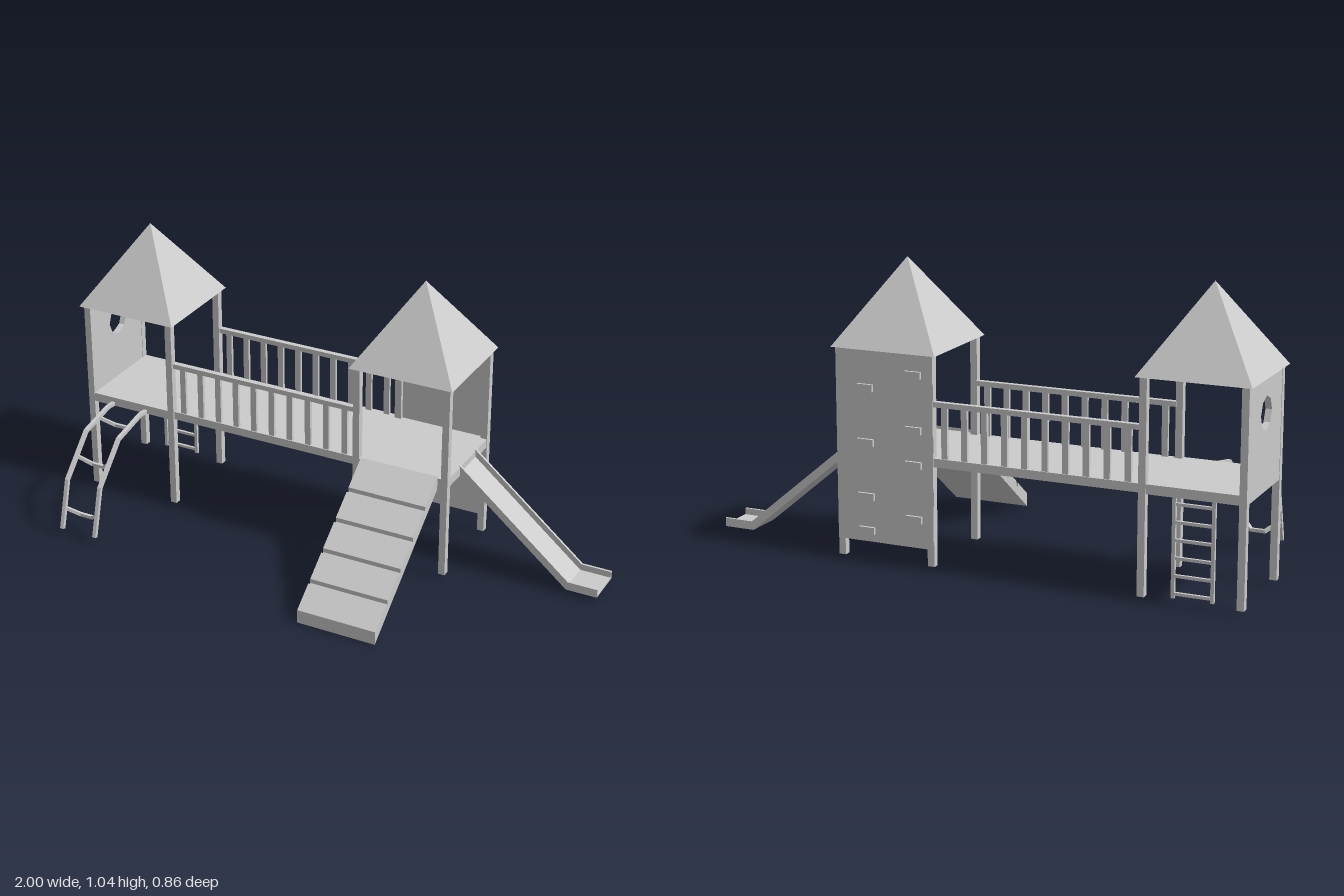
import * as THREE from 'three';

const mat = new THREE.MeshStandardMaterial({ color: 0xcccccc, flatShading: true });
const CZ = -0.235; // centre line of the towers
const LEFT = -0.805, RIGHT = 0.29; // x of the two towers

export function createModel() {
  const root = new THREE.Group();
  root.name = 'playground';

  const group = (name, parent = root) => {
    const g = new THREE.Group();
    g.name = name;
    parent.add(g);
    return g;
  };
  const add = (parent, name, geo) => {
    const m = new THREE.Mesh(geo, mat);
    m.name = name;
    parent.add(m);
    return m;
  };
  // box given by its limits
  const box = (parent, name, x0, x1, y0, y1, z0, z1) => {
    const m = add(parent, name, new THREE.BoxGeometry(x1 - x0, y1 - y0, z1 - z0));
    m.position.set((x0 + x1) / 2, (y0 + y1) / 2, (z0 + z1) / 2);
    return m;
  };
  // square bar between two points
  const bar = (parent, name, a, b, t) => {
    const p = new THREE.Vector3(...a), q = new THREE.Vector3(...b);
    const m = add(parent, name, new THREE.BoxGeometry(t, t, p.distanceTo(q) + t * 0.4));
    m.position.copy(p).add(q).multiplyScalar(0.5);
    m.lookAt(q);
    return m;
  };
  const path = (parent, name, pts, t) => {
    for (let i = 1; i < pts.length; i++) bar(parent, name, pts[i - 1], pts[i], t);
  };
  const shapeOf = pts => new THREE.Shape(pts.map(p => new THREE.Vector2(...p)));
  const extrude = (shape, depth) =>
    new THREE.ExtrudeGeometry(shape, { depth, bevelEnabled: false });
  // (z, y) profile extruded along x
  const profileX = (parent, name, pts, x0, x1) => {
    const geo = extrude(shapeOf(pts.map(([z, y]) => [-z, y])), x1 - x0);
    add(parent, name, geo.rotateY(Math.PI / 2)).position.x = x0;
  };

  // towers: posts, platform, pyramid roof
  for (const [name, x] of [['leftTower', LEFT], ['rightTower', RIGHT]]) {
    const t = group(name);
    for (const sx of [-1, 1]) for (const sz of [-1, 1]) {
      const px = x + sx * 0.17, pz = CZ + sz * 0.17;
      box(t, 'post', px - 0.0125, px + 0.0125, 0.02, 0.755, pz - 0.0125, pz + 0.0125);
    }
    box(t, 'platform', x - 0.181, x + 0.181, 0.367, 0.4, CZ - 0.181, CZ + 0.181);
    const roof = add(t, 'roof',
      new THREE.ConeGeometry(0.195 * Math.SQRT2, 0.292, 4).rotateY(Math.PI / 4));
    roof.position.set(x, 0.75 + 0.146, CZ);
  }

  // side panel with an octagonal window
  const panel = shapeOf([[-0.16, 0.4], [0.16, 0.4], [0.16, 0.75], [-0.16, 0.75]]);
  const hole = new THREE.Path();
  for (let i = 0; i < 8; i++) {
    const a = i * Math.PI / 4, u = Math.cos(a) * 0.057, v = 0.628 + Math.sin(a) * 0.057;
    i ? hole.lineTo(u, v) : hole.moveTo(u, v);
  }
  hole.closePath();
  panel.holes.push(hole);
  add(root, 'windowPanel', extrude(panel, 0.022).rotateY(Math.PI / 2))
    .position.set(LEFT - 0.181, 0, CZ);

  // bridge with railings
  const bridge = group('bridge');
  box(bridge, 'bridgeDeck', LEFT + 0.18, RIGHT - 0.18, 0.37, 0.4, -0.417, -0.06);
  for (const z of [-0.07, -0.407]) {
    box(bridge, 'handrail', LEFT + 0.18, RIGHT - 0.18, 0.576, 0.594, z - 0.01, z + 0.01);
    for (let i = 0; i < 10; i++) {
      const x = -0.585 + i * 0.0727;
      box(bridge, 'baluster', x - 0.011, x + 0.011, 0.4, 0.576, z - 0.006, z + 0.006);
    }
  }

  // climbing wall with holds
  const wall = group('climbingWall');
  box(wall, 'wallBoard', RIGHT - 0.182, RIGHT + 0.182, 0.08, 0.752, -0.42, -0.406);
  const holds = [[0.18, [0.68, 0.49, 0.37, 0.18]], [0.36, [0.62, 0.43, 0.24, 0.12]]];
  for (const [x, ys] of holds) for (const y of ys)
    box(wall, 'hold', x - 0.03, x + 0.03, y - 0.0125, y + 0.0125, -0.43, -0.418);

  // straight ladder at the back
  const ladder = group('backLadder');
  for (const x of [-0.879, -0.745])
    box(ladder, 'ladderRail', x - 0.006, x + 0.006, 0.03, 0.385, -0.416, -0.404);
  for (let i = 0; i < 6; i++) {
    const y = 0.045 + i * 0.06;
    box(ladder, 'rung', -0.879, -0.745, y - 0.005, y + 0.005, -0.415, -0.405);
  }

  // arched climber at the front
  const climber = group('archClimber');
  const arch = [[-0.055, 0.375], [-0.015, 0.378], [0.133, 0.349], [0.268, 0.214], [0.317, 0.038]];
  for (const x of [-0.882, -0.744])
    path(climber, 'archRail', arch.map(([z, y]) => [x, y, z]), 0.014);
  // each sagging rung: rail end (z, y) and dipped middle (z, y)
  for (const [z0, y0, z1, y1] of [[0.045, 0.363, 0.008, 0.326], [0.2, 0.278, 0.169, 0.241], [0.292, 0.108, 0.26, 0.076]])
    path(climber, 'sagRung',
      [[-0.882, y0, z0], [-0.838, y1, z1], [-0.788, y1, z1], [-0.744, y0, z0]], 0.012);

  // ramp: sloped board with five raised planks
  const ramp = group('ramp');
  const Z0 = 0.427, Z1 = -0.05, K = 0.75;
  const low = z => 0.002 + (Z0 - z) * K;
  const slab = (name, za, zb, lo, hi) => profileX(ramp, name,
    [[za, low(za) + lo], [zb, low(zb) + lo], [zb, low(zb) + hi], [za, low(za) + hi]],
    0.142, 0.436);
  slab('rampBoard', Z0, Z1, 0, 0.034);
  const step = (Z0 - Z1) / 5;
  for (let i = 0; i < 5; i++) {
    const za = Z0 - i * step;
    slab('plank', za, za - step + (i < 4 ? 0.014 : 0), 0.03, 0.05);
  }

  // slide: bed with two side walls
  const slide = group('slide');
  const chute = (name, h, z0, z1) => {
    const s = shapeOf([[0.468, 0.37], [0.885, 0.02], [1, 0.02], [1, 0.02 + h],
      [0.885 + h * 0.2, 0.02 + h], [0.468, 0.37 + h * 1.15]]);
    add(slide, name, extrude(s, z1 - z0)).position.z = z0;
  };
  chute('slideBed', 0.008, -0.305, -0.163);
  chute('slideSide', 0.031, -0.305, -0.296);
  chute('slideSide', 0.031, -0.172, -0.163);

  return root;
}
